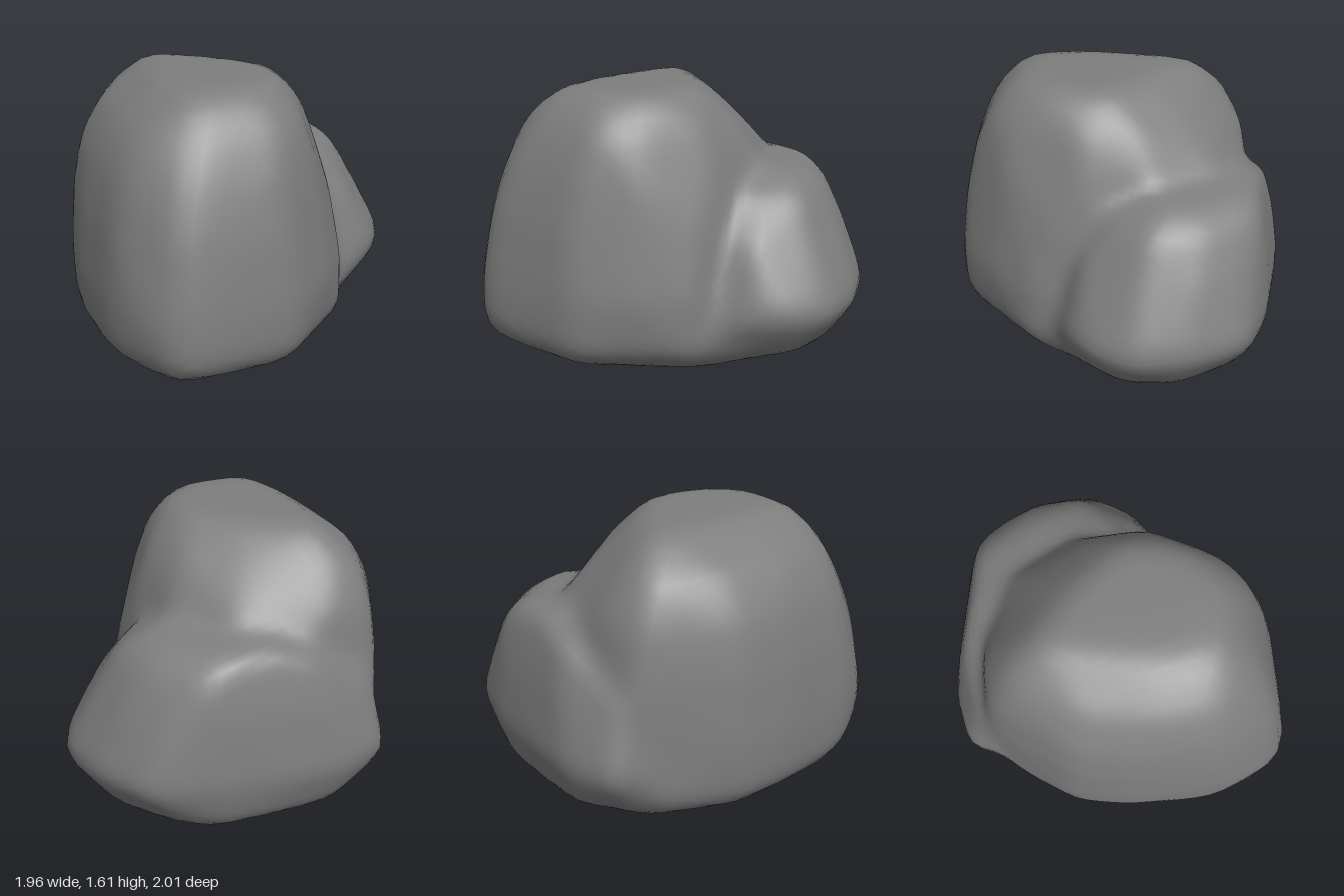
import * as THREE from 'three';
import { mergeVertices } from 'three/addons/utils/BufferGeometryUtils.js';
import { ConvexGeometry } from 'three/addons/geometries/ConvexGeometry.js';

// Each boulder is a convex hull of level outlines: [height, x, z, x, z, ...]
const TALL_BOULDER = [
  [0.055, -0.45, -0.6, -0.6, 0.3, -0.3, 0.62, 0.05, 0.55, 0.4, 0.1, 0.35, -0.6],
  [0.1, -0.83, -0.2, -0.78, 0.45, -0.58, 0.84, 0.03, 0.77, 0.46, 0.3, -0.68, -0.58],
  [0.2, -0.95, -0.2, -0.95, 0.1, -0.87, 0.6, -0.58, 1.02, 0.08, 0.87, 0.52, 0.38, 0.55, 0, -0.76, -0.62],
  [0.5, -0.96, -0.24, -0.97, 0.1, -0.88, 0.6, -0.77, 0.83, -0.58, 1.01, 0.09, 0.88, 0.34, 0.64, 0.52, 0.37, 0.54, 0, -0.67, -0.76],
  [0.9, -0.94, -0.22, -0.94, 0.12, -0.84, 0.62, -0.56, 0.94, 0.05, 0.84, 0.48, 0.25, 0.48, 0, -0.68, -0.73, 0, -0.75],
  [1.2, -0.89, -0.2, -0.88, 0.15, -0.78, 0.6, -0.5, 0.84, 0.04, 0.77, 0.28, 0.55, 0.42, 0.1, 0.35, -0.3, 0.1, -0.62, -0.4, -0.75, -0.66, -0.68],
  [1.42, -0.76, -0.2, -0.75, 0.25, -0.66, 0.58, -0.4, 0.73, 0.08, 0.67, 0.22, 0.5, 0.34, 0.1, 0.26, -0.2, 0, -0.44, -0.45, -0.62, -0.62, -0.58],
  [1.605, -0.46, -0.34, -0.43, -0.45, -0.08, -0.24, 0.17, 0, 0.16, 0.33, -0.02, 0.53, -0.4, 0.55, -0.48, 0.25],
];
const LOW_BOULDER = [
  [0.05, 0.45, 0.1, 0.56, -0.4, 0.35, -0.73, -0.35, -0.7, -0.53, -0.4, -0.4, 0.4, 0.1, 0.45],
  [0.13, 0.6, 0.08, 0.79, -0.2, 0.75, -0.5, 0.5, -0.8, 0.3, -0.91, -0.35, -0.9, -0.62, -0.68],
  [0.4, 0.77, 0.13, 0.92, -0.02, 1.015, -0.27, 0.93, -0.57, 0.73, -0.88, 0.38, -0.97, -0.2, -1, -0.42, -1, -0.73, -0.88, -0.3, 0.3],
  [0.78, 0.66, 0.04, 0.82, -0.3, 0.75, -0.6, 0.6, -0.81, 0.32, -0.94, -0.3, -0.95, -0.62, -0.8, -0.3, 0.2],
  [1.02, 0.52, -0.1, 0.69, -0.33, 0.61, -0.6, 0.36, -0.89, -0.25, -0.89],
  [1.12, 0.38, -0.3, 0.53, -0.38, 0.46, -0.55, 0.22, -0.85, 0, -0.84, -0.2, -0.4],
];
const CENTER = new THREE.Vector3(-0.05, 0.6, -0.15);
const SWELL = 0.013; // makes up for what the weathering wears off

// Planes of a boulder's hull, measured from the shared center
function hullPlanes(levels) {
  const points = [];
  for (const [y, ...xz] of levels) {
    for (let i = 0; i < xz.length; i += 2) {
      points.push(new THREE.Vector3(xz[i], y, xz[i + 1]).sub(CENTER));
    }
  }
  const pos = new ConvexGeometry(points).attributes.position;
  const planes = [];
  for (let i = 0; i < pos.count; i += 3) {
    const [a, b, c] = [0, 1, 2].map((k) => new THREE.Vector3().fromBufferAttribute(pos, i + k));
    const plane = new THREE.Plane().setFromCoplanarPoints(a, b, c);
    plane.constant -= SWELL;
    planes.push(plane);
  }
  return planes;
}

// Distance from the center to the hull along a direction
function reach(planes, dir) {
  let r = 3;
  for (const p of planes) {
    const s = p.normal.dot(dir);
    if (s > 1e-5) r = Math.min(r, -p.constant / s);
  }
  return r;
}

function smoothMax(a, b, k) {
  const h = Math.max(k - Math.abs(a - b), 0) / k;
  return Math.max(a, b) + h * h * k * 0.25;
}

// Weathering: move every vertex towards the mean of its neighbours
function relax(geo, passes) {
  const pos = geo.attributes.position;
  const near = Array.from({ length: pos.count }, () => new Set());
  const idx = geo.index.array;
  for (let i = 0; i < idx.length; i += 3) {
    for (let k = 0; k < 3; k++) {
      near[idx[i + k]].add(idx[i + (k + 1) % 3]).add(idx[i + (k + 2) % 3]);
    }
  }
  const v = new THREE.Vector3();
  for (let n = 0; n < passes; n++) {
    const next = near.map((set, i) => {
      const mean = new THREE.Vector3();
      for (const j of set) mean.add(v.fromBufferAttribute(pos, j));
      return mean.divideScalar(set.size).lerp(v.fromBufferAttribute(pos, i), 0.4);
    });
    next.forEach((p, i) => pos.setXYZ(i, p.x, p.y, p.z));
  }
}

export function createModel() {
  const tall = hullPlanes(TALL_BOULDER);
  const low = hullPlanes(LOW_BOULDER);

  // One skin over both boulders, blended along the crease
  let geo = new THREE.IcosahedronGeometry(1, 16);
  geo.deleteAttribute('normal');
  geo.deleteAttribute('uv');
  geo = mergeVertices(geo, 1e-4);
  const pos = geo.attributes.position;
  const dir = new THREE.Vector3();
  for (let i = 0; i < pos.count; i++) {
    dir.fromBufferAttribute(pos, i).normalize();
    dir.multiplyScalar(smoothMax(reach(tall, dir), reach(low, dir), 0.14)).add(CENTER);
    pos.setXYZ(i, dir.x, dir.y, dir.z);
  }
  relax(geo, 2);
  geo.computeVertexNormals();

  const rock = new THREE.Mesh(geo, new THREE.MeshStandardMaterial({ color: 0x7e7e7e }));
  rock.name = 'rock';
  const group = new THREE.Group();
  group.name = 'boulders';
  group.add(rock);
  return group;
}
